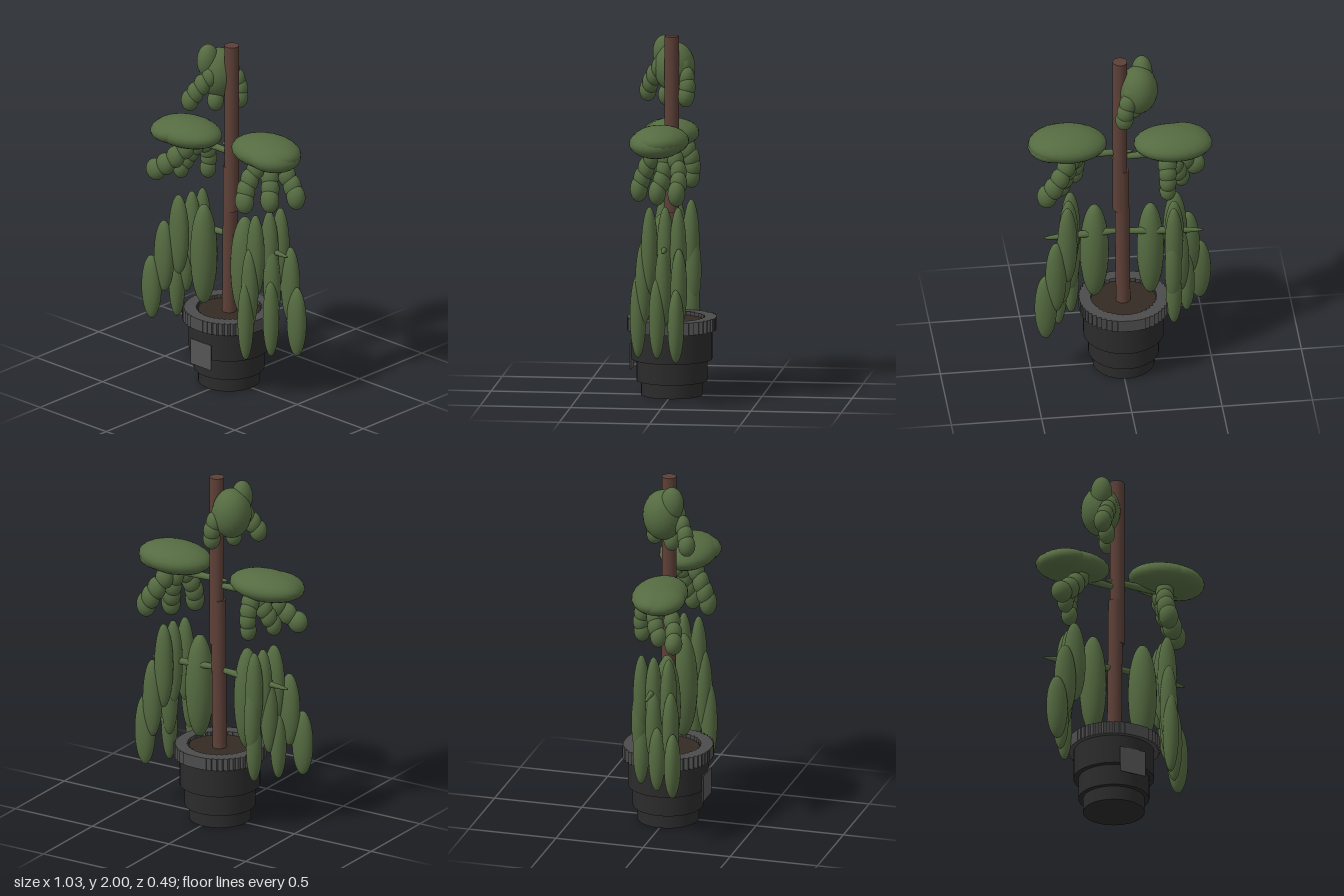
import * as THREE from 'three';

const mat = (color) => new THREE.MeshStandardMaterial({ color });
const leafMat = mat(0x556b41), barkMat = mat(0x5d4037), potMat = mat(0x2b2b2b);
const rimMat = mat(0x4c4c4c), soilMat = mat(0x352a24), plateMat = mat(0x555555);
const ball = new THREE.SphereGeometry(1, 24, 16);
const V = (p) => new THREE.Vector3(...p);

export function createModel() {
  const root = new THREE.Group();

  function add(name, geometry, material, pos, parent = root) {
    const mesh = new THREE.Mesh(geometry, material);
    mesh.name = name;
    mesh.position.set(...pos);
    parent.add(mesh);
    return mesh;
  }
  function blob(name, pos, size, parent = root, tilt = 0) {
    const mesh = add(name, ball, leafMat, pos, parent);
    mesh.scale.set(...size);
    mesh.rotation.z = tilt;
    return mesh;
  }
  // Thin ellipsoid stretched between two points
  function twig(name, a, b, r) {
    const d = V(b).sub(V(a));
    const mesh = blob(name, V(a).add(V(b)).multiplyScalar(0.5).toArray(), [r, d.length() / 2, r]);
    mesh.quaternion.setFromUnitVectors(new THREE.Vector3(0, 1, 0), d.normalize());
  }
  // Row of overlapping leaves along a bent line; sizes run from top to bottom
  function chain(name, points, count, top, bottom) {
    const group = new THREE.Group();
    group.name = name;
    const curve = new THREE.CatmullRomCurve3(points.map(V));
    for (let i = 0; i < count; i++) {
      const t = i / (count - 1);
      const size = V(top).lerp(V(bottom), t).toArray();
      blob('leaf', curve.getPoint(t).toArray(), size, group);
    }
    root.add(group);
  }
  function rod(name, a, b, r) {
    const d = V(b).sub(V(a));
    const mesh = add(name, new THREE.CylinderGeometry(r, r, d.length(), 24), barkMat,
      V(a).add(V(b)).multiplyScalar(0.5).toArray());
    mesh.quaternion.setFromUnitVectors(new THREE.Vector3(0, 1, 0), d.normalize());
  }

  // Stepped pot
  const cx = -0.015;
  for (const [r, y0, y1] of [[0.17, 0, 0.08], [0.195, 0.08, 0.2], [0.222, 0.2, 0.37]]) {
    add('potTier', new THREE.CylinderGeometry(r, r, y1 - y0, 40), potMat, [cx, (y0 + y1) / 2, 0]);
  }
  add('soil', new THREE.CylinderGeometry(0.2, 0.2, 0.06, 40), soilMat, [cx, 0.385, 0]);
  add('labelPlate', new THREE.BoxGeometry(0.155, 0.148, 0.006), plateMat, [-0.017, 0.217, 0.222]);

  // Rim of square blocks, all aligned to the axes
  const rim = new THREE.Group();
  rim.name = 'potRim';
  root.add(rim);
  const block = new THREE.BoxGeometry(0.062, 0.07, 0.062);
  for (let i = 0; i < 44; i++) {
    const a = (i / 44) * Math.PI * 2;
    add('rimBlock', block, rimMat, [cx + Math.sin(a) * 0.214, 0.4, Math.cos(a) * 0.214], rim);
  }

  // Trunk in two overlapping lengths
  rod('lowerTrunk', [-0.013, 0.39, 0], [-0.004, 1.28, 0], 0.04);
  rod('upperTrunk', [0.005, 1.02, 0], [0.005, 2, 0], 0.04);

  // Branches
  twig('lowerBranch', [0.06, 0.875, 0], [-0.46, 0.842, 0], 0.02);
  twig('lowerBranch', [-0.06, 0.88, 0], [0.43, 0.857, 0], 0.02);
  twig('upperBranch', [0.06, 1.36, 0], [-0.4, 1.375, 0.02], 0.02);
  twig('upperBranch', [-0.07, 1.4, 0], [0.4, 1.385, 0.02], 0.02);

  // Flat leaf pads
  blob('leftPad', [0.293, 1.462, 0.028], [0.218, 0.085, 0.158], root, 0.03);
  blob('leftPadTip', [0.35, 1.458, 0.04], [0.162, 0.079, 0.152], root, -0.1);
  blob('rightPad', [-0.293, 1.412, 0.035], [0.218, 0.08, 0.15], root, 0.03);
  blob('rightPadTip', [-0.36, 1.412, 0.055], [0.15, 0.07, 0.14], root, 0.1);

  // Bead clusters hanging under the pads
  const bead = [0.052, 0.062, 0.045], tip = [0.056, 0.072, 0.048];
  chain('leftBeadsFront', [[0.26, 1.36, 0.08], [0.24, 1.27, 0.125], [0.245, 1.185, 0.152]], 4, bead, tip);
  chain('leftBeadsMiddle', [[0.28, 1.36, 0.0], [0.305, 1.27, 0.01], [0.33, 1.18, 0.04]], 4, bead, tip);
  chain('leftBeadsBack', [[0.31, 1.36, -0.06], [0.365, 1.27, -0.085], [0.418, 1.19, -0.077]], 4, bead, tip);
  chain('rightBeadsFront', [[-0.27, 1.33, 0.08], [-0.34, 1.25, 0.125], [-0.425, 1.185, 0.152]], 4, bead, [0.06, 0.062, 0.048]);
  chain('rightBeadsMiddle', [[-0.27, 1.33, 0.0], [-0.31, 1.26, 0.01], [-0.34, 1.185, 0.04]], 4, bead, [0.045, 0.06, 0.045]);
  chain('rightBeadsBack', [[-0.25, 1.33, -0.06], [-0.25, 1.26, -0.085], [-0.25, 1.175, -0.08]], 4, bead, [0.045, 0.06, 0.045]);

  // Crown cluster
  blob('crown', [-0.095, 1.81, -0.005], [0.108, 0.142, 0.113]);
  blob('crownTip', [-0.123, 1.89, 0.055], [0.058, 0.095, 0.065]);
  const small = [0.045, 0.06, 0.042], smallTip = [0.05, 0.062, 0.047];
  chain('crownBeadsFront', [[-0.085, 1.81, 0.08], [-0.13, 1.74, 0.125], [-0.168, 1.67, 0.152]], 4, small, smallTip);
  chain('crownBeadsMiddle', [[-0.07, 1.79, 0.0], [-0.08, 1.73, 0.01], [-0.08, 1.66, 0.04]], 3, small, [0.046, 0.06, 0.045]);
  chain('crownBeadsBack', [[-0.05, 1.82, -0.06], [-0.02, 1.74, -0.085], [-0.01, 1.665, -0.078]], 4, small, smallTip);

  // Long drooping leaves
  blob('leftInnerLeaf', [0.142, 0.73, 0.04], [0.08, 0.3, 0.08]);
  blob('rightInnerLeaf', [-0.168, 0.72, 0.04], [0.075, 0.295, 0.075]);
  const long = [0.055, 0.245, 0.046];
  chain('leftLongFront', [[0.27, 0.845, 0.09], [0.26, 0.66, 0.125], [0.257, 0.48, 0.155]], 3, long, [0.044, 0.235, 0.045]);
  chain('leftLongMiddle', [[0.29, 0.85, 0.0], [0.32, 0.65, 0.01], [0.34, 0.48, 0.04]], 3, long, [0.046, 0.225, 0.045]);
  chain('leftLongBack', [[0.305, 0.85, -0.073], [0.37, 0.65, -0.085], [0.425, 0.45, -0.075]], 3, long, [0.062, 0.205, 0.045]);
  chain('rightLongFront', [[-0.31, 0.81, 0.09], [-0.388, 0.67, 0.125], [-0.455, 0.477, 0.155]], 3, [0.065, 0.235, 0.046], [0.063, 0.187, 0.045]);
  chain('rightLongMiddle', [[-0.295, 0.81, 0.0], [-0.33, 0.65, 0.01], [-0.37, 0.475, 0.04]], 3, [0.055, 0.235, 0.046], [0.044, 0.185, 0.045]);
  chain('rightLongBack', [[-0.285, 0.81, -0.073], [-0.28, 0.65, -0.085], [-0.285, 0.475, -0.075]], 3, [0.05, 0.235, 0.046], [0.044, 0.185, 0.045]);

  return root;
}
